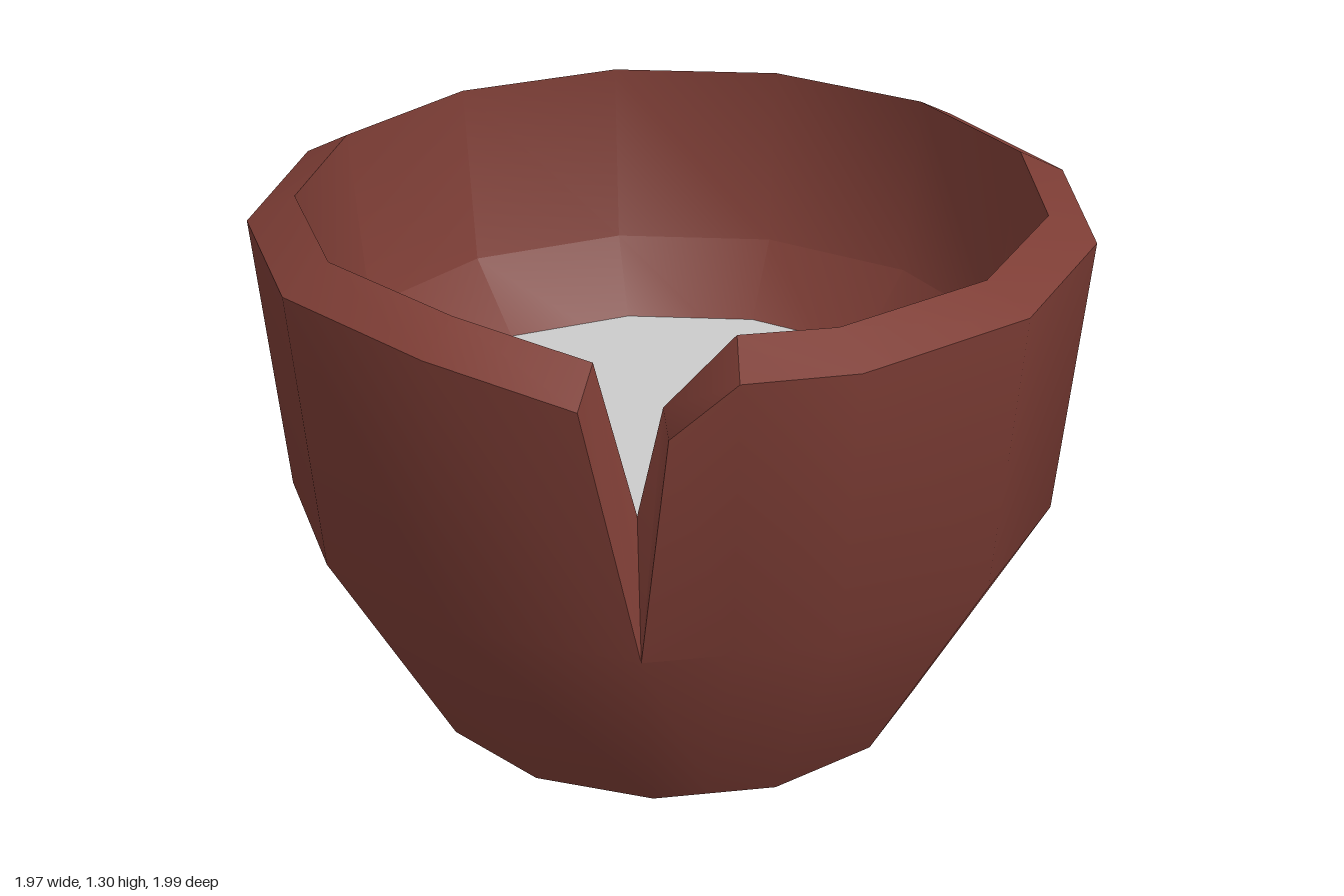
import * as THREE from 'three';
import { toCreasedNormals } from 'three/addons/utils/BufferGeometryUtils.js';

const SIDES = 13;
const TURN = -0.01;
// [radius, height] from the foot, up the outside, over the rim and down the inside
const PROFILE = [[0.615, 0], [0.93, 0.55], [1, 1.24], [0.885, 1.3], [0.84, 0.85], [0.62, 0.6]];

const V = (x, y, z) => new THREE.Vector3(x, y, z);

function column(i) {
  const a = (i / SIDES) * Math.PI * 2 + TURN;
  return PROFILE.map(([r, y]) => V(r * Math.cos(a), y, r * Math.sin(a)));
}

function createBowl(material) {
  const cols = Array.from({ length: SIDES }, (_, i) => column(i));

  // The sixth column splits into the two lips of a V-shaped chip
  const crack = cols[5];
  const shoulder = cols[4].map((p, j) => p.clone().lerp(crack[j], 0.54));
  shoulder[2] = V(-0.57, 1.24, 0.8);
  shoulder[3] = V(-0.49, 1.3, 0.71);
  const chipBottom = V(-0.64, 0.87, 0.56);
  const lip = (outer, inner) => [crack[0], crack[1], outer, inner, chipBottom, crack[5]];
  const rightLip = lip(V(-0.66, 1.1, 0.68), V(-0.6, 1.13, 0.6));
  const leftLip = lip(V(-0.8, 1.165, 0.55), V(-0.7, 1.23, 0.49));
  cols.splice(5, 1, shoulder, rightLip, leftLip);

  const pos = [];
  const tri = (...points) => points.forEach((p) => pos.push(p.x, p.y, p.z));
  const quad = (a, b, c, d) => { tri(a, b, c); tri(a, c, d); };

  cols.forEach((c, i) => {
    const n = cols[(i + 1) % cols.length];
    if (c === rightLip) return;
    for (let j = 0; j < PROFILE.length - 1; j++) quad(c[j], c[j + 1], n[j + 1], n[j]);
    tri(V(0, 0, 0), c[0], n[0]); // underside
  });

  // Broken faces through the wall thickness
  quad(rightLip[1], rightLip[2], rightLip[3], chipBottom);
  quad(leftLip[1], chipBottom, leftLip[3], leftLip[2]);

  const geometry = new THREE.BufferGeometry();
  geometry.setAttribute('position', new THREE.Float32BufferAttribute(pos, 3));
  const mesh = new THREE.Mesh(toCreasedNormals(geometry, 0.68), material);
  mesh.name = 'chippedBowl';
  return mesh;
}

export function createModel() {
  const clay = new THREE.MeshStandardMaterial({ color: 0x7d3d35 });
  clay.name = 'brown clay';
  const pale = new THREE.MeshStandardMaterial({ color: 0xcccccc });
  pale.name = 'pale grey';

  const group = new THREE.Group();
  group.name = 'bowl';
  group.add(createBowl(clay));

  // Flat surface of the contents
  const contents = new THREE.Mesh(new THREE.CircleGeometry(0.69, SIDES).rotateX(-Math.PI / 2), pale);
  contents.name = 'contents';
  contents.position.y = 0.68;
  contents.rotation.y = -TURN;
  // Mirror-symmetric polygon, so its corners line up with the wall columns
  group.add(contents);
  return group;
}
